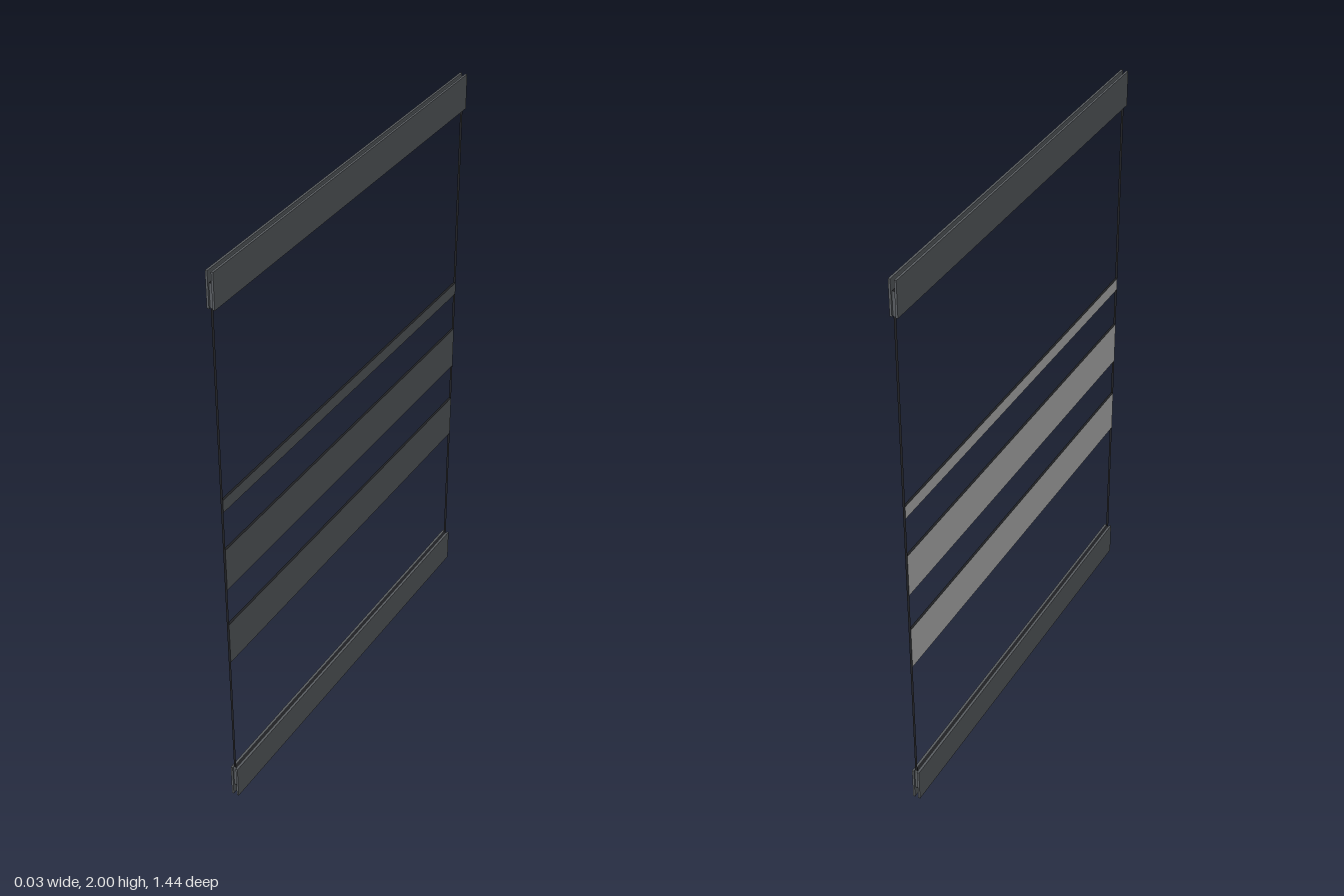
import * as THREE from 'three';

const HALF_LENGTH = 0.72;   // rails along z
const PANE_HALF = 0.714;    // pane along z
const THICKNESS = 0.008;    // pane along x

export function createModel() {
  const model = new THREE.Group();
  model.name = 'glassDoorPanel';

  const metal = new THREE.MeshStandardMaterial({ color: 0x585c60 });
  metal.name = 'darkMetal';
  const film = new THREE.MeshStandardMaterial({ color: 0xb6b6b6 });
  film.name = 'greyFilm';
  const edge = new THREE.MeshStandardMaterial({ color: 0x202124 });
  edge.name = 'paneEdge';

  const add = (parent, name, geometry, material, x, y, z) => {
    const mesh = new THREE.Mesh(geometry, material);
    mesh.name = name;
    mesh.position.set(x, y, z);
    parent.add(mesh);
    return mesh;
  };

  // Channel rails: two cheeks joined by a web with dark upper and lower faces
  for (const side of [-1, 1]) {
    const rail = new THREE.Group();
    rail.name = side > 0 ? 'topRail' : 'bottomRail';
    for (const x of [-1, 1]) {
      add(rail, 'railCheek', new THREE.BoxGeometry(0.007, 0.12, HALF_LENGTH * 2),
        metal, x * 0.0095, 1 + side * 0.94, 0);
    }
    add(rail, 'railWeb', new THREE.BoxGeometry(0.012, 0.08, PANE_HALF * 2),
      [metal, metal, edge, edge, metal, metal], 0, 1 + side * 0.92, 0);
    model.add(rail);
  }

  // Horizontal bands on the pane: dark towards +x, grey towards -x, dark rims
  for (const [bottom, top] of [[0.585, 0.74], [0.88, 1.035], [1.178, 1.223]]) {
    add(model, 'band', new THREE.BoxGeometry(THICKNESS, top - bottom, PANE_HALF * 2),
      [metal, film, edge, edge, edge, edge], 0, (bottom + top) / 2, 0);
  }

  // Narrow upright edges of the clear pane, seen from both sides
  for (const side of [-1, 1]) {
    for (const turn of [0, Math.PI]) {
      const strip = add(model, 'paneEdge', new THREE.PlaneGeometry(THICKNESS, 1.76),
        edge, 0, 1, side * PANE_HALF);
      strip.rotation.y = turn;
    }
  }

  return model;
}
